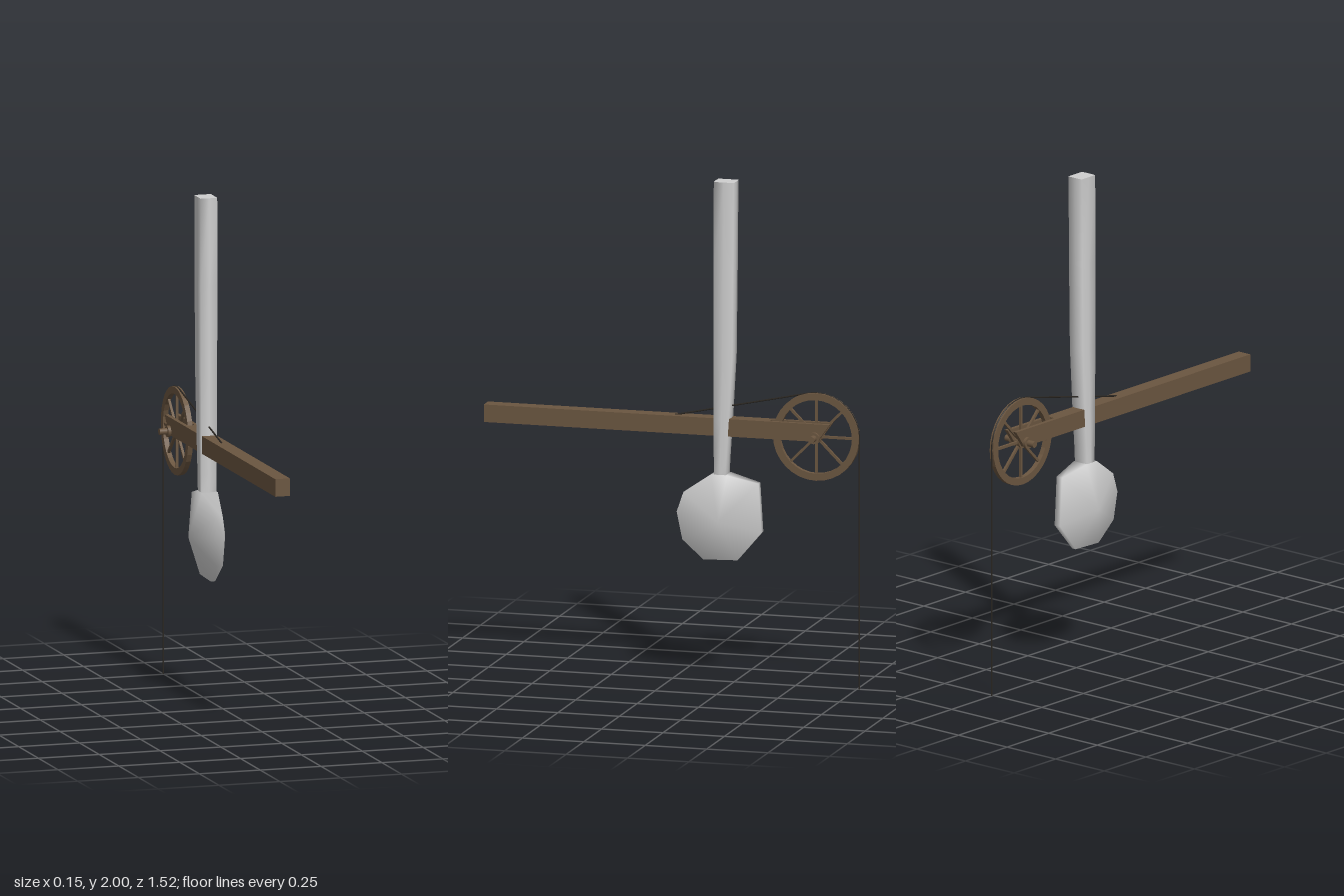
import * as THREE from 'three';
import { mergeVertices } from 'three/addons/utils/BufferGeometryUtils.js';

const flat = (name, color) => {
  const m = new THREE.MeshStandardMaterial({ color });
  m.name = name;
  return m;
};

// Smooth skin over a list of rings, each a list of [x, y, z] points
function loft(rings) {
  const n = rings[0].length, index = [];
  for (let i = 0; i < rings.length - 1; i++) {
    for (let j = 0; j < n; j++) {
      const a = i * n + j, b = i * n + (j + 1) % n;
      index.push(a, b, b + n, a, b + n, a + n);
    }
  }
  let g = new THREE.BufferGeometry();
  g.setAttribute('position', new THREE.Float32BufferAttribute(rings.flat(2), 3));
  g.setIndex(index);
  g = mergeVertices(g);
  g.computeVertexNormals();
  return g;
}

export function createModel() {
  const model = new THREE.Group();
  const wood = flat('wood', 0x6b5640);
  const stone = flat('pale stone', 0xcfcfcf);
  const ropeMat = flat('dark rope', 0x2b2722);
  const add = (name, geometry, material, parent = model) => {
    const mesh = new THREE.Mesh(geometry, material);
    mesh.name = name;
    parent.add(mesh);
    return mesh;
  };

  // Beam: solid front, forked back with slanted ends; shapes drawn in (-z, y)
  const slab = (name, x0, x1, points) => {
    const shape = new THREE.Shape(points.map(([z, y]) => new THREE.Vector2(-z, y)));
    const g = new THREE.ExtrudeGeometry(shape, { depth: x1 - x0, bevelEnabled: false });
    g.rotateY(Math.PI / 2).translate(x0, 0, 0);
    add(name, g, wood);
  };
  const low = 0.985, high = 1.055, slot = -0.4;
  slab('beam', -0.03, 0.03, [[0.76, low], [slot, low], [slot, high], [0.76, high]]);
  const prong = [[slot, low], [-0.597, low], [-0.647, high], [slot, high]];
  slab('rightProng', -0.03, -0.014, prong);
  slab('leftProng', 0.014, 0.03, prong);

  // Spoked wheel, built facing z and turned to face x
  const wheel = new THREE.Group();
  wheel.name = 'wheel';
  wheel.position.set(0, 1, -0.585);
  wheel.rotation.y = Math.PI / 2;
  model.add(wheel);
  const R = 0.175;
  const ring = new THREE.Shape().absarc(0, 0, R, 0, Math.PI * 2);
  ring.holes.push(new THREE.Path().absarc(0, 0, 0.147, 0, Math.PI * 2, true));
  const rim = new THREE.ExtrudeGeometry(ring, { depth: 0.02, bevelEnabled: false, curveSegments: 16 });
  add('rim', rim.translate(0, 0, -0.01), wood, wheel);
  for (let i = 0; i < 8; i++) {
    const spoke = new THREE.BoxGeometry(0.01, 0.14, 0.01).translate(0, 0.085, 0);
    add('spoke', spoke.rotateZ(i * Math.PI / 4), wood, wheel);
  }
  const drum = (name, r, length) =>
    add(name, new THREE.CylinderGeometry(r, r, length, 12).rotateX(Math.PI / 2), wood, wheel);
  drum('hub', 0.025, 0.026);
  drum('axle', 0.013, 0.146);
  for (const s of [-1, 1]) drum('collar', 0.023, 0.012).position.z = s * 0.036;

  // Rope: beam to wheel, over the rim, then straight down
  const path = new THREE.CurvePath();
  const arc = [];
  for (let i = 0; i <= 12; i++) {
    const a = THREE.MathUtils.degToRad(78.3 + (180 - 78.3) * i / 12);
    arc.push(new THREE.Vector3(0, 1 + 0.174 * Math.sin(a), -0.585 + 0.174 * Math.cos(a)));
  }
  const points = [new THREE.Vector3(0, 1.054, -0.01), ...arc, new THREE.Vector3(0, 0, -0.759)];
  for (let i = 1; i < points.length; i++) path.add(new THREE.LineCurve3(points[i - 1], points[i]));
  add('rope', new THREE.TubeGeometry(path, 120, 0.0035, 6), ropeMat);

  // Tall shaft: squarish sections [y, half width, front z, back z]
  const section = ([y, w, front, back]) => {
    const mid = (front + back) / 2;
    return [[w, y, front], [w, y, mid], [w, y, back], [0, y, back - 0.002],
      [-w, y, back], [-w, y, mid], [-w, y, front], [0, y, front + 0.002]];
  };
  const shaft = [
    [0.81, 0.031, -0.178, -0.222], [0.9, 0.031, -0.176, -0.227], [1.05, 0.032, -0.175, -0.237],
    [1.3, 0.033, -0.175, -0.251], [1.65, 0.034, -0.175, -0.255], [2, 0.034, -0.177, -0.258],
  ].map(section);
  add('shaft', loft(shaft), stone);
  const top = shaft[shaft.length - 1];
  add('shaftTop', loft([top, top.map(() => [0, 2, -0.217])]), stone);

  // Broad faceted head: outline in [z, y, half thickness], thickest at its centre
  const outline = [
    [-0.165, 0.83, 0.033], [-0.048, 0.75, 0.016], [-0.02, 0.67, 0.014], [-0.043, 0.56, 0.014],
    [-0.127, 0.484, 0.009], [-0.265, 0.488, 0.009], [-0.365, 0.605, 0.014], [-0.353, 0.8, 0.014],
    [-0.23, 0.83, 0.033],
  ];
  const side = (s) => outline.map(([z, y, t]) => [s * t, y, z]);
  const peak = (s) => outline.map(() => [s * 0.076, 0.65, -0.205]);
  add('head', loft([peak(-1), side(-1), side(1), peak(1)]), stone);

  return model;
}
